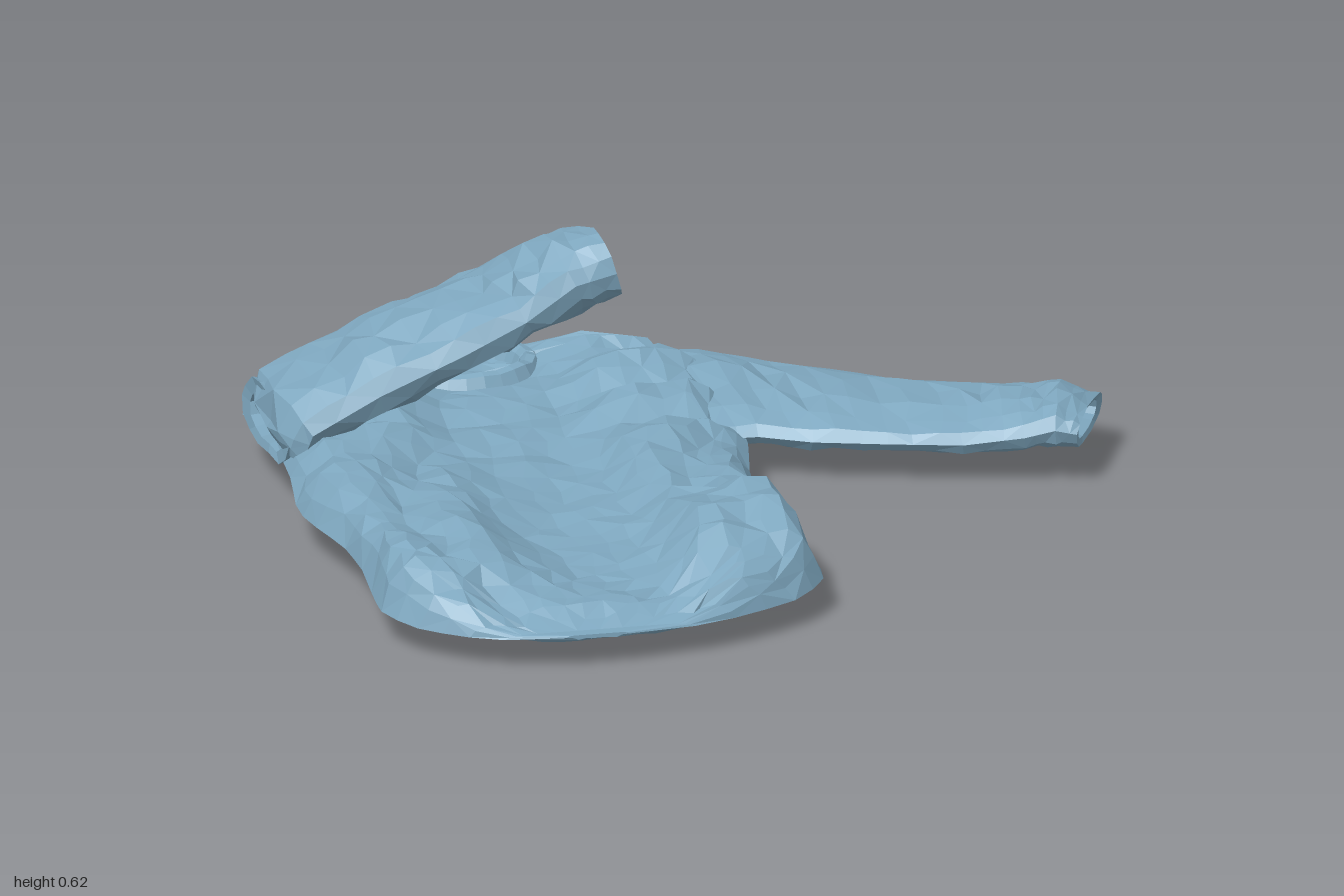
import * as THREE from 'three';

// Repeatable noise in -1..1
function makeRandom(seed) {
  return () => {
    seed = (seed * 1664525 + 1013904223) % 4294967296;
    return seed / 2147483648 - 1;
  };
}

// Skin over closed rings of equal length, with fan caps where asked
function loft(rings, capped) {
  const n = rings[0].length, pos = [], idx = [];
  rings.forEach(r => r.forEach(p => pos.push(p.x, p.y, p.z)));
  for (let i = 0; i < rings.length - 1; i++) {
    for (let j = 0; j < n; j++) {
      const a = i * n + j, b = i * n + (j + 1) % n;
      if ((i + j) % 2) idx.push(a, a + n, b, b, a + n, b + n);
      else idx.push(a, a + n, b + n, a, b + n, b);
    }
  }
  const cap = (row, flip) => {
    const c = new THREE.Vector3();
    rings[row].forEach(p => c.addScaledVector(p, 1 / n));
    const k = pos.length / 3;
    pos.push(c.x, c.y, c.z);
    for (let j = 0; j < n; j++) {
      const a = row * n + j, b = row * n + (j + 1) % n;
      if (flip) idx.push(k, b, a); else idx.push(k, a, b);
    }
  };
  if (capped) {
    cap(0, false);
    cap(rings.length - 1, true);
  }
  const g = new THREE.BufferGeometry();
  g.setAttribute('position', new THREE.Float32BufferAttribute(pos, 3));
  g.setIndex(idx);
  g.computeVertexNormals();
  return g;
}

// Linear lookup in rows sorted by their first number
function lookup(rows, z) {
  let i = 0;
  while (i < rows.length - 2 && rows[i + 1][0] < z) i++;
  const t = THREE.MathUtils.clamp((z - rows[i][0]) / (rows[i + 1][0] - rows[i][0]), 0, 1);
  return rows[i].map((v, k) => v + (rows[i + 1][k] - v) * t);
}

// Shirt outline: z, right edge, left edge, underside height, edge height
const OUTLINE = [
  [-0.975, -0.5, -0.36, 0.09, 0.11], [-0.93, -0.57, -0.27, 0.08, 0.11],
  [-0.85, -0.68, -0.15, 0.07, 0.11], [-0.78, -0.8, 0.06, 0.06, 0.11],
  [-0.6, -0.99, 0.15, 0.05, 0.11], [-0.5, -0.95, 0.15, 0.05, 0.11],
  [-0.15, -0.97, 0.13, 0.05, 0.11], [0, -0.99, 0.1, 0.04, 0.1],
  [0.1, -0.99, 0.09, 0.035, 0.1], [0.3, -0.94, 0.075, 0.02, 0.1],
  [0.45, -0.93, 0.12, 0.01, 0.1], [0.65, -0.94, 0.13, 0, 0.09],
  [0.74, -0.94, 0.12, 0.015, 0.09], [0.82, -0.88, 0.04, 0.03, 0.08],
  [0.9, -0.79, -0.1, 0.05, 0.08], [0.95, -0.68, -0.25, 0.065, 0.08],
  [0.975, -0.55, -0.4, 0.075, 0.085],
];

// Extra height of the puffed sides: z, right side, left side
const PUFF = [
  [-0.95, 0, 0], [-0.8, 0.06, 0.04], [-0.66, 0.1, 0.055], [-0.45, 0.08, 0.055],
  [-0.2, 0.05, 0.05], [0.1, 0.07, 0.08], [0.37, 0.08, 0.09], [0.43, 0.09, 0.13],
  [0.6, 0.1, 0.14], [0.74, 0.09, 0.11], [0.84, 0.02, 0.03], [0.95, 0, 0],
];

// Height of the front cloth: puffed sides, flat middle, creases, neck hollow
function clothTop(x, z) {
  const [, right, left] = lookup(PUFF, z);
  const onRight = Math.exp(-(((x + 0.82) / 0.22) ** 4));
  const onLeft = Math.exp(-(((x + 0.04) / 0.17) ** 4));
  let y = 0.125 + right * onRight + left * onLeft;
  const chest = 1 - THREE.MathUtils.smoothstep(z, -0.25, 0);
  const acrossFold = Math.abs(Math.sin(z * 13 + x * 2.5)) - 0.6;
  const longFold = Math.abs(Math.sin(x * 9 + 0.9 * Math.sin(z * 4))) - 0.6;
  y += THREE.MathUtils.lerp(longFold, acrossFold, chest) * (0.018 + 0.035 * Math.max(onRight, onLeft));
  const neck = Math.hypot((x + 0.42) / 0.15, (z + 0.8) / 0.14);
  y = THREE.MathUtils.lerp(0.09, y, THREE.MathUtils.smoothstep(neck, 0.8, 1.15));
  return THREE.MathUtils.lerp(y, 0.09, THREE.MathUtils.smoothstep(z, 0.86, 0.95));
}

// Body as cross-sections from nape to hem, rows and columns closer at the rims
function bodyGeometry() {
  const rnd = makeRandom(11), rows = 32, top = 22, under = 10, rings = [];
  const spread = t => (2 * t - 1) * 0.45 - Math.cos(Math.PI * t) * 0.55;
  for (let i = 0; i <= rows; i++) {
    const z0 = 0.975 * spread(i / rows);
    const [, xl, xr, low, edge] = lookup(OUTLINE, z0);
    const ring = [], mid = (xl + xr) / 2, half = (xr - xl) / 2;
    const loose = i > 1 && i < rows - 1 ? Math.min(1, half * 2) : 0;
    for (let j = 0; j <= top; j++) {
      const s = spread(j / top);
      const side = 1 - Math.abs(s) ** 14;
      const x = mid + half * s + rnd() * 0.015 * loose * side;
      const z = z0 + rnd() * 0.015 * loose * side;
      const y = edge + (clothTop(x, z) - edge) * side + rnd() * 0.007 * loose * side;
      ring.push(new THREE.Vector3(x, Math.max(y, low + 0.01), z));
    }
    for (let j = 1; j < under; j++) {
      const s = 1 - 2 * j / under;
      const y = low + (edge - low) * Math.abs(s) ** 3 + Math.abs(rnd()) * 0.008;
      ring.push(new THREE.Vector3(mid + half * s, y, z0));
    }
    rings.push(ring);
  }
  return loft(rings, true);
}

// Sleeve from rows of: back edge xyz, front edge xyz, half thickness
function sleeveGeometry(rows, seed) {
  const rnd = makeRandom(seed), n = 14, steps = 3, rings = [];
  const count = (rows.length - 1) * steps;
  const table = rows.map((r, i) => [i * steps, ...r]);
  const axis = r => new THREE.Vector3((r[1] + r[4]) / 2, (r[2] + r[5]) / 2, (r[3] + r[6]) / 2);
  const start = axis(lookup(table, count - steps)), end = axis(lookup(table, count));
  for (let i = 0; i <= count; i++) {
    const r = lookup(table, i), c = axis(r);
    const across = new THREE.Vector3(r[4] - r[1], r[5] - r[2], r[6] - r[3]).multiplyScalar(0.5);
    const along = axis(lookup(table, Math.min(i + 1, count))).sub(axis(lookup(table, Math.max(i - 1, 0))));
    const up = new THREE.Vector3().crossVectors(across, along).normalize().multiplyScalar(r[7]);
    const ring = [];
    for (let j = 0; j < n; j++) {
      const a = -2 * Math.PI * j / n, co = Math.cos(a), si = Math.sin(a);
      const wrinkle = 1 + rnd() * 0.2;
      ring.push(c.clone().addScaledVector(across, Math.sign(co) * Math.abs(co) ** 0.9)
        .addScaledVector(up, Math.sign(si) * Math.abs(si) ** 0.85 * wrinkle)
        .addScaledVector(along, rnd() * 0.13 * Math.abs(si)));
    }
    rings.push(ring);
  }
  // Turn the cloth inward at the cuff to make an open mouth
  const inward = start.sub(end).normalize(), mouth = rings[rings.length - 1];
  for (const [scale, depth] of [[0.72, 0.005], [0.6, 0.09]]) {
    rings.push(mouth.map(p => end.clone().lerp(p, scale).addScaledVector(inward, depth)));
  }
  return loft(rings, true);
}

// Flat collar band around the neck hollow
function collarGeometry() {
  const rnd = makeRandom(5), rings = [], n = 26;
  const section = [[0.125, -0.045], [0.14, -0.005], [0.155, 0.01], [0.175, 0.005], [0.195, -0.03]];
  for (let i = 0; i <= n; i++) {
    const a = 2 * Math.PI * (i % n) / n, wob = i === n ? 0 : rnd() * 0.006;
    rings.push(section.map(([r, h]) => new THREE.Vector3(
      -0.42 + Math.cos(a) * r, 0.132 + 0.006 * Math.sin(a) + h + wob,
      -0.8 + Math.sin(a) * r * 0.9)));
  }
  return loft(rings, false);
}

export function createModel() {
  const group = new THREE.Group();
  const cloth = new THREE.MeshStandardMaterial({ color: 0x7fa8c0, flatShading: true, side: THREE.DoubleSide });
  const add = (name, geometry) => {
    const mesh = new THREE.Mesh(geometry, cloth);
    mesh.name = name;
    group.add(mesh);
  };

  add('shirtBody', bodyGeometry());
  add('collar', collarGeometry());

  // Sleeve lying flat out to the side
  add('flatSleeve', sleeveGeometry([
    [-0.06, 0.11, -0.79, 0.02, 0.11, -0.2, 0.04],
    [0.13, 0.115, -0.75, 0.16, 0.115, -0.18, 0.055],
    [0.28, 0.12, -0.63, 0.28, 0.11, -0.13, 0.05],
    [0.47, 0.12, -0.49, 0.45, 0.11, -0.08, 0.048],
    [0.7, 0.12, -0.37, 0.62, 0.11, -0.035, 0.048],
    [0.83, 0.12, -0.33, 0.76, 0.13, 0, 0.055],
    [0.92, 0.12, -0.3, 0.83, 0.15, 0.02, 0.065],
    [1, 0.11, -0.25, 0.88, 0.14, 0.03, 0.045],
  ], 21));

  // Sleeve lifted and folded back over the chest
  add('raisedSleeve', sleeveGeometry([
    [-0.93, 0.14, -0.62, -0.93, 0.13, -0.2, 0.05],
    [-0.92, 0.2, -0.61, -0.91, 0.2, -0.18, 0.075],
    [-0.75, 0.27, -0.6, -0.75, 0.29, -0.17, 0.085],
    [-0.57, 0.35, -0.58, -0.55, 0.38, -0.16, 0.08],
    [-0.42, 0.43, -0.54, -0.4, 0.45, -0.165, 0.075],
    [-0.28, 0.5, -0.47, -0.28, 0.53, -0.17, 0.09],
    [-0.18, 0.54, -0.41, -0.18, 0.55, -0.18, 0.075],
  ], 34));

  // Loose fold of cloth at the raised shoulder
  add('shoulderFold', sleeveGeometry([
    [-0.72, 0.13, -0.79, -0.72, 0.13, -0.35, 0.05],
    [-0.88, 0.15, -0.68, -0.86, 0.16, -0.25, 0.07],
    [-0.99, 0.16, -0.6, -0.96, 0.16, -0.22, 0.07],
  ], 8));
  return group;
}
